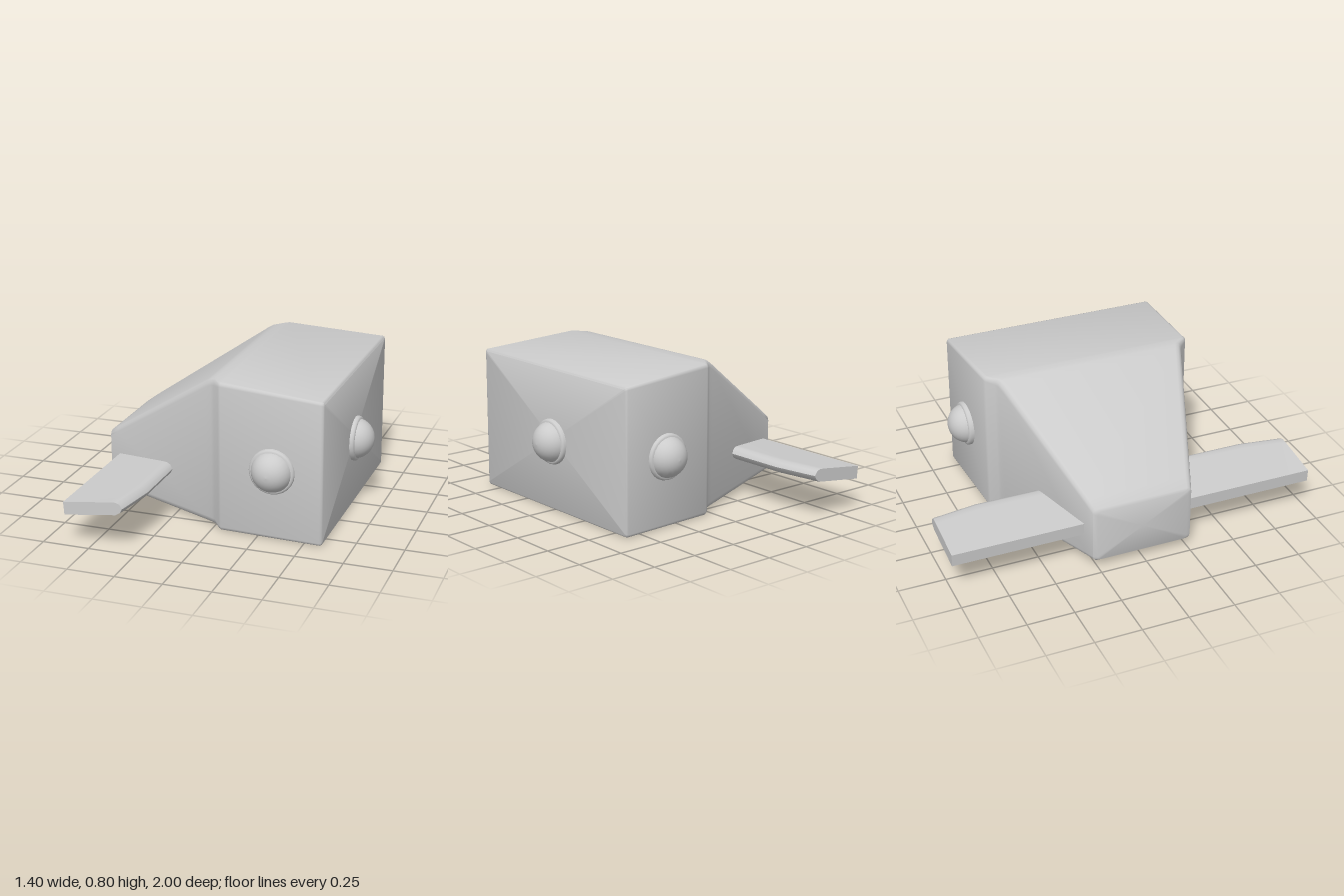
import * as THREE from 'three';
import { toCreasedNormals } from 'three/addons/utils/BufferGeometryUtils.js';

const grey = new THREE.MeshStandardMaterial({ color: 0xcccccc });

// Skin a list of equal-length rings (anticlockwise seen from the far end) and cap both ends
function loft(rings, crease) {
  const pos = [];
  const tri = (...pts) => pts.forEach((p) => pos.push(p.x, p.y, p.z));
  const n = rings[0].length;
  const middle = (ring) => ring.reduce((s, p) => s.add(p), new THREE.Vector3()).divideScalar(n);
  const first = rings[0], last = rings[rings.length - 1];
  const c0 = middle(first), c1 = middle(last);
  for (let j = 0; j < n; j++) {
    const k = (j + 1) % n;
    for (let i = 0; i < rings.length - 1; i++) {
      const a = rings[i], b = rings[i + 1];
      tri(a[j], a[k], b[k]);
      tri(a[j], b[k], b[j]);
    }
    tri(c0, first[k], first[j]);
    tri(c1, last[j], last[k]);
  }
  const geo = new THREE.BufferGeometry();
  geo.setAttribute('position', new THREE.Float32BufferAttribute(pos, 3));
  return toCreasedNormals(geo, crease);
}

// Rounded rectangle across the body at x
function bodyRing([x, y0, y1, halfZ, r]) {
  const ring = [];
  const corners = [[y1 - r, halfZ - r], [y0 + r, halfZ - r], [y0 + r, r - halfZ], [y1 - r, r - halfZ]];
  corners.forEach(([y, z], q) => {
    for (let s = 0; s <= 3; s++) {
      const t = (q + s / 3) * Math.PI / 2;
      ring.push(new THREE.Vector3(x, y + r * Math.cos(t), z + r * Math.sin(t)));
    }
  });
  return ring;
}

// Fin outline at z; sweep pulls the leading edge back
function finRing(z, sweep) {
  const outline = [[-0.625, 0.167], [-0.31, 0.203], [-0.285, 0.218], [-0.274, 0.24],
    [-0.288, 0.262], [-0.31, 0.27], [-0.345, 0.267], [-0.63, 0.235]];
  return outline.map(([x, y]) => new THREE.Vector3(x > -0.4 ? x - sweep : x, y, z));
}

function lathe(points) {
  return new THREE.LatheGeometry(points.map(([r, h]) => new THREE.Vector2(r, h)), 24);
}

export function createModel() {
  const model = new THREE.Group();
  const add = (parent, name, geo) => {
    const mesh = new THREE.Mesh(geo, grey);
    mesh.name = name;
    parent.add(mesh);
    return mesh;
  };

  // Body: tapered tail, small step, boxy head; x, bottom, top, half width, edge radius
  const sections = [
    [-0.70, 0.045, 0.335, 0.25, 0.02],
    [-0.69, 0.038, 0.35, 0.273, 0.025],
    [-0.64, 0.034, 0.387, 0.292, 0.03],
    [-0.05, 0.005, 0.78, 0.51, 0.035],
    [-0.02, 0.003, 0.797, 0.522, 0.035],
    [0.0, 0.002, 0.80, 0.532, 0.035],
    [0.035, 0.001, 0.799, 0.572, 0.025],
    [0.05, 0.0, 0.798, 0.58, 0.02],
    [0.582, 0.0, 0.763, 0.604, 0.016],
    [0.592, 0.004, 0.759, 0.60, 0.014],
    [0.597, 0.012, 0.75, 0.591, 0.01],
  ];
  add(model, 'body', loft(sections.map(bodyRing), 0.75));

  // Fins
  for (const side of [1, -1]) {
    const stations = [[0.25, 0], [0.76, 0], [0.99, 0.034], [1, 0.037]];
    const rings = stations.map(([z, sweep]) => finRing(side * z, sweep));
    if (side < 0) rings.reverse();
    add(model, side > 0 ? 'frontFin' : 'backFin', loft(rings, 0.75));
  }

  // Domed lamps, each seated in a thin collar
  const collar = toCreasedNormals(lathe([[0.12, -0.02], [0.12, 0.01], [0.117, 0.019], [0.109, 0.024], [0.09, 0.024]]), 0.9);
  const arc = [];
  for (let i = 0; i <= 8; i++) {
    const t = (i / 8) * Math.PI / 2;
    arc.push([0.108 * Math.cos(t), 0.103 * Math.sin(t)]);
  }
  const dome = lathe(arc);
  const lamps = [
    ['noseLamp', [0.597, 0.37, 0], [0, 0, -Math.PI / 2]],
    ['frontLamp', [0.33, 0.37, 0.592], [Math.PI / 2, 0, 0]],
    ['backLamp', [0.33, 0.37, -0.592], [-Math.PI / 2, 0, 0]],
  ];
  for (const [name, position, rotation] of lamps) {
    const lamp = new THREE.Group();
    lamp.name = name;
    lamp.position.set(...position);
    lamp.rotation.set(...rotation);
    add(lamp, 'collar', collar);
    add(lamp, 'dome', dome);
    model.add(lamp);
  }
  return model;
}
